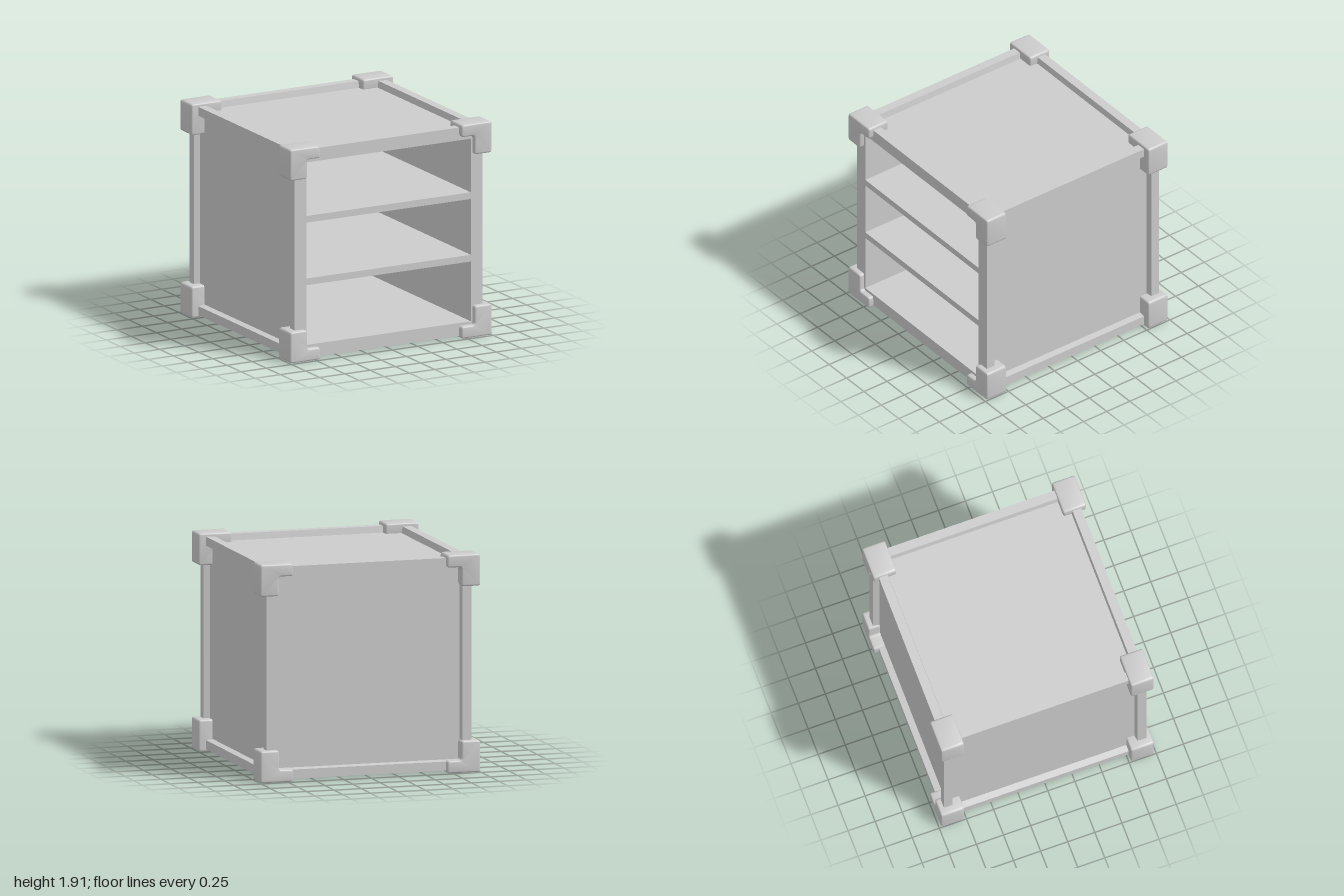
import * as THREE from 'three';
import { toCreasedNormals } from 'three/addons/utils/BufferGeometryUtils.js';

const H = 0.9325;   // half size of the framed cube
const CY = 0.9525;  // height of its centre
const P = 0.875;    // outer face of the recessed panels
const INNER = 0.815; // inner face of the panels

const material = new THREE.MeshStandardMaterial({ color: 0xcccccc });

function rectangle(Type, x0, y0, x1, y1) {
  return new Type([[x0, y0], [x1, y0], [x1, y1], [x0, y1]].map(([x, y]) => new THREE.Vector2(x, y)));
}

// Polygon whose corners are rounded by r
function roundedShape(points, r) {
  const pts = points.map(([x, y]) => new THREE.Vector2(x, y));
  const shape = new THREE.Shape();
  pts.forEach((p, i) => {
    const prev = pts[(i + pts.length - 1) % pts.length];
    const next = pts[(i + 1) % pts.length];
    const a = prev.clone().sub(p).setLength(r).add(p);
    const b = next.clone().sub(p).setLength(r).add(p);
    if (i === 0) shape.moveTo(a.x, a.y);
    else shape.lineTo(a.x, a.y);
    shape.quadraticCurveTo(p.x, p.y, b.x, b.y);
  });
  shape.closePath();
  return shape;
}

// Slab from z0 to z1 pierced by the three shelf openings
function openSlab(half, z0, z1) {
  const shape = rectangle(THREE.Shape, -half, -half, half, half);
  for (const [bottom, top] of [[0.135, 0.67], [0.73, 1.23], [1.29, 1.77]]) {
    shape.holes.push(rectangle(THREE.Path, -INNER, bottom - CY, INNER, top - CY));
  }
  const geo = new THREE.ExtrudeGeometry(shape, { depth: z1 - z0, bevelEnabled: false });
  return geo.translate(0, 0, z0);
}

export function createModel() {
  const model = new THREE.Group();
  model.name = 'shelfCube';

  const add = (name, geometry, parent = model) => {
    const mesh = new THREE.Mesh(geometry, material);
    mesh.name = name;
    parent.add(mesh);
    return mesh;
  };

  // Panels and shelves, open at the front
  add('shelfBody', openSlab(P, -INNER, 0.85)).position.y = CY;
  add('frontFrame', openSlab(H - 0.08, 0.85, H)).position.y = CY;
  add('backPanel', new THREE.BoxGeometry(2 * P, 2 * P, P - INNER))
    .position.set(0, CY, -(P + INNER) / 2);

  // Edge bars: square section with slightly sloping inner walls
  const section = new THREE.Shape(
    [[0, 0], [-0.08, 0], [-0.09, -0.06], [-0.06, -0.09], [0, -0.08]]
      .map(([x, y]) => new THREE.Vector2(H + x, H + y))
  );
  const barGeo = new THREE.ExtrudeGeometry(section, { depth: 1.8, bevelEnabled: false });
  barGeo.translate(0, 0, -0.9);
  const axes = { depthBars: [0, 0], widthBars: [0, Math.PI / 2], uprightBars: [Math.PI / 2, 0] };
  for (const [name, [rx, ry]] of Object.entries(axes)) {
    const set = new THREE.Group();
    set.name = name;
    set.position.y = CY;
    set.rotation.set(rx, ry, 0);
    for (let i = 0; i < 4; i++) add('edgeBar', barGeo, set).rotation.z = i * Math.PI / 2;
    model.add(set);
  }

  // L-shaped corner guards with softened edges; origin at the outer corner
  const bevel = 0.015;
  const depth = 0.21;
  const outline = roundedShape(
    [[0, 0], [-0.3, 0], [-0.3, -0.11], [-0.17, -0.11], [-0.17, -0.28], [0, -0.28]], 0.025
  );
  const guardGeo = toCreasedNormals(new THREE.ExtrudeGeometry(outline, {
    depth: depth - 2 * bevel, curveSegments: 4,
    bevelSize: bevel, bevelThickness: bevel, bevelOffset: -bevel, bevelSegments: 3,
  }).translate(0, 0, bevel - depth / 2), 0.7);
  for (const sx of [-1, 1]) for (const sy of [-1, 1]) for (const sz of [-1, 1]) {
    const guard = add('cornerGuard', guardGeo);
    guard.rotation.set(sy < 0 ? Math.PI : 0, sx < 0 ? Math.PI : 0, 0);
    guard.position.set(sx, sy < 0 ? 0 : 1.915, sz * (0.98 - depth / 2));
  }

  return model;
}
